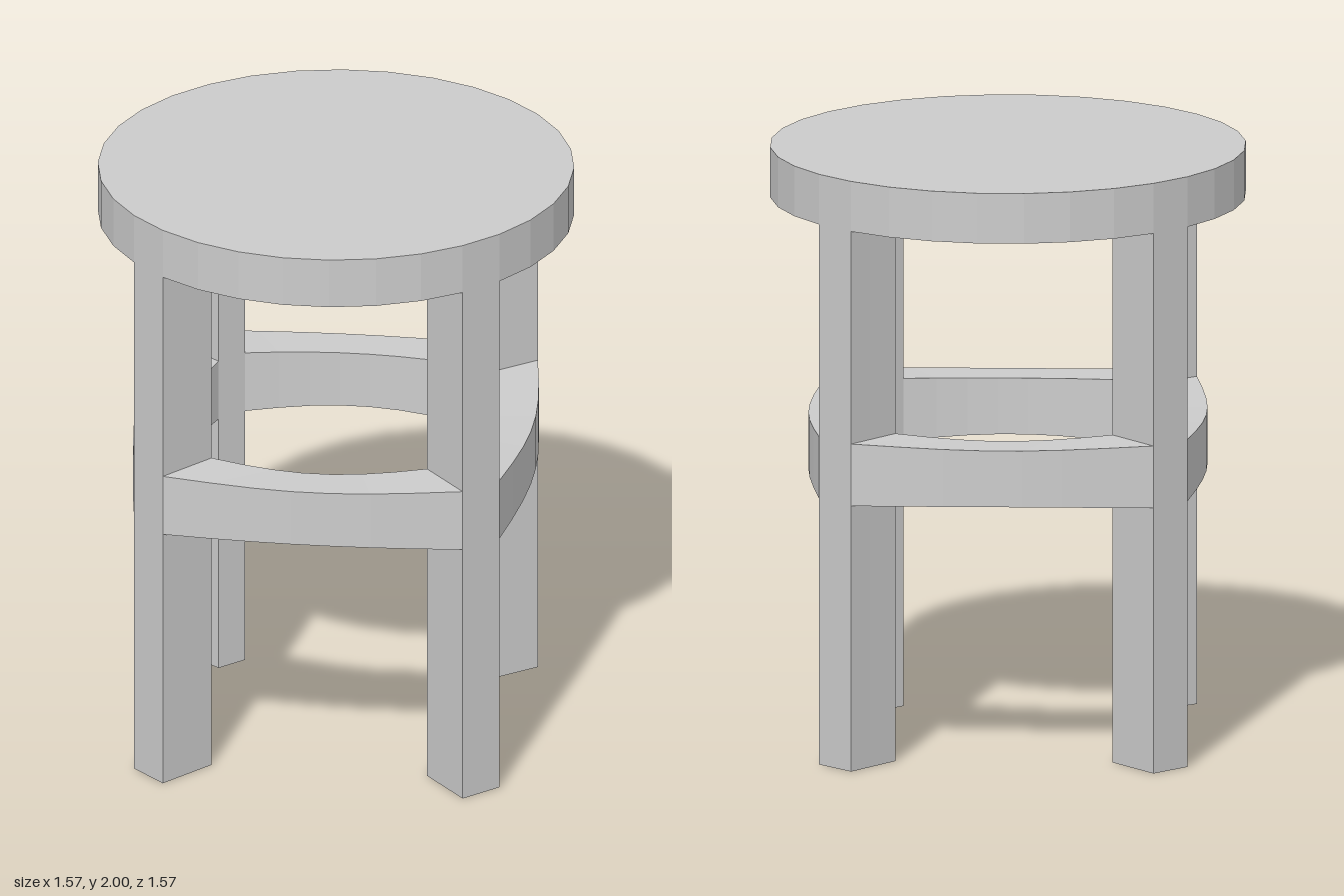
import * as THREE from 'three';

const SIDES = 32;
const STEP = (Math.PI * 2) / SIDES;
const START = THREE.MathUtils.degToRad(-5.1); // first corner of the seat polygon
const R_OUT = 0.79, R_IN = 0.567;
const SEAT_BOTTOM = 1.83, HEIGHT = 2;

const material = new THREE.MeshStandardMaterial({ color: 0xcccccc, flatShading: true });

// Closed four-sided bar swept around the y axis; section(t) gives its size at t = 0..1
function sweptBar(name, from, to, segments, section) {
  const rings = [];
  for (let i = 0; i <= segments; i++) {
    const t = i / segments;
    const angle = from + (to - from) * t;
    const { ro, ri, y0, y1 } = section(t, angle);
    rings.push([[ro, y0], [ro, y1], [ri, y1], [ri, y0]].map(
      ([r, y]) => [r * Math.sin(angle), y, r * Math.cos(angle)]));
  }
  const pos = [];
  const quad = (a, b, c, d) => pos.push(...a, ...b, ...c, ...a, ...c, ...d);
  for (let i = 0; i < segments; i++) {
    const a = rings[i], b = rings[i + 1];
    for (let k = 0; k < 4; k++) quad(a[k], b[k], b[(k + 1) % 4], a[(k + 1) % 4]);
  }
  const first = rings[0], last = rings[segments];
  quad(first[0], first[1], first[2], first[3]);
  quad(last[3], last[2], last[1], last[0]);

  const geometry = new THREE.BufferGeometry();
  geometry.setAttribute('position', new THREE.Float32BufferAttribute(pos, 3));
  geometry.computeVertexNormals();
  const mesh = new THREE.Mesh(geometry, material);
  mesh.name = name;
  return mesh;
}

export function createModel() {
  const stool = new THREE.Group();
  stool.name = 'stool';

  // Round seat
  const thickness = HEIGHT - SEAT_BOTTOM;
  const seat = new THREE.Mesh(
    new THREE.CylinderGeometry(R_OUT, R_OUT, thickness, SIDES, 1, false, START), material);
  seat.name = 'seat';
  seat.position.y = SEAT_BOTTOM + thickness / 2;
  stool.add(seat);

  // Wedge-shaped legs, each flush with one facet of the seat
  const legNames = ['frontLeg', 'leftLeg', 'backLeg', 'rightLeg'];
  const railNames = ['frontLeftRail', 'backLeftRail', 'backRightRail', 'frontRightRail'];
  const railFrom = START + STEP, railTo = START + 8 * STEP;
  const half = (railTo - railFrom) / 2;
  // Radius of a shallow curve lying between the straight chord and the full arc
  const shallow = (r, bulge, angle) =>
    THREE.MathUtils.lerp(r * Math.cos(half) / Math.cos(angle), r, bulge);

  for (let i = 0; i < 4; i++) {
    const leg = sweptBar(legNames[i], START, START + STEP, 1,
      () => ({ ro: R_OUT, ri: R_IN, y0: 0, y1: SEAT_BOTTOM }));
    leg.rotation.y = i * Math.PI / 2;

    // Slightly bowed rail to the next leg, a little slimmer in the middle
    const rail = sweptBar(railNames[i], railFrom, railTo, 7, (t, angle) => {
      const fromMiddle = angle - (railFrom + half);
      const pinch = 0.01 * Math.sin(Math.PI * t);
      return {
        ro: shallow(R_OUT, 0.28, fromMiddle),
        ri: shallow(R_IN, 0.5, fromMiddle),
        y0: 0.9 + pinch,
        y1: 1.11 - pinch,
      };
    });
    rail.rotation.y = i * Math.PI / 2;
    stool.add(leg, rail);
  }
  return stool;
}
